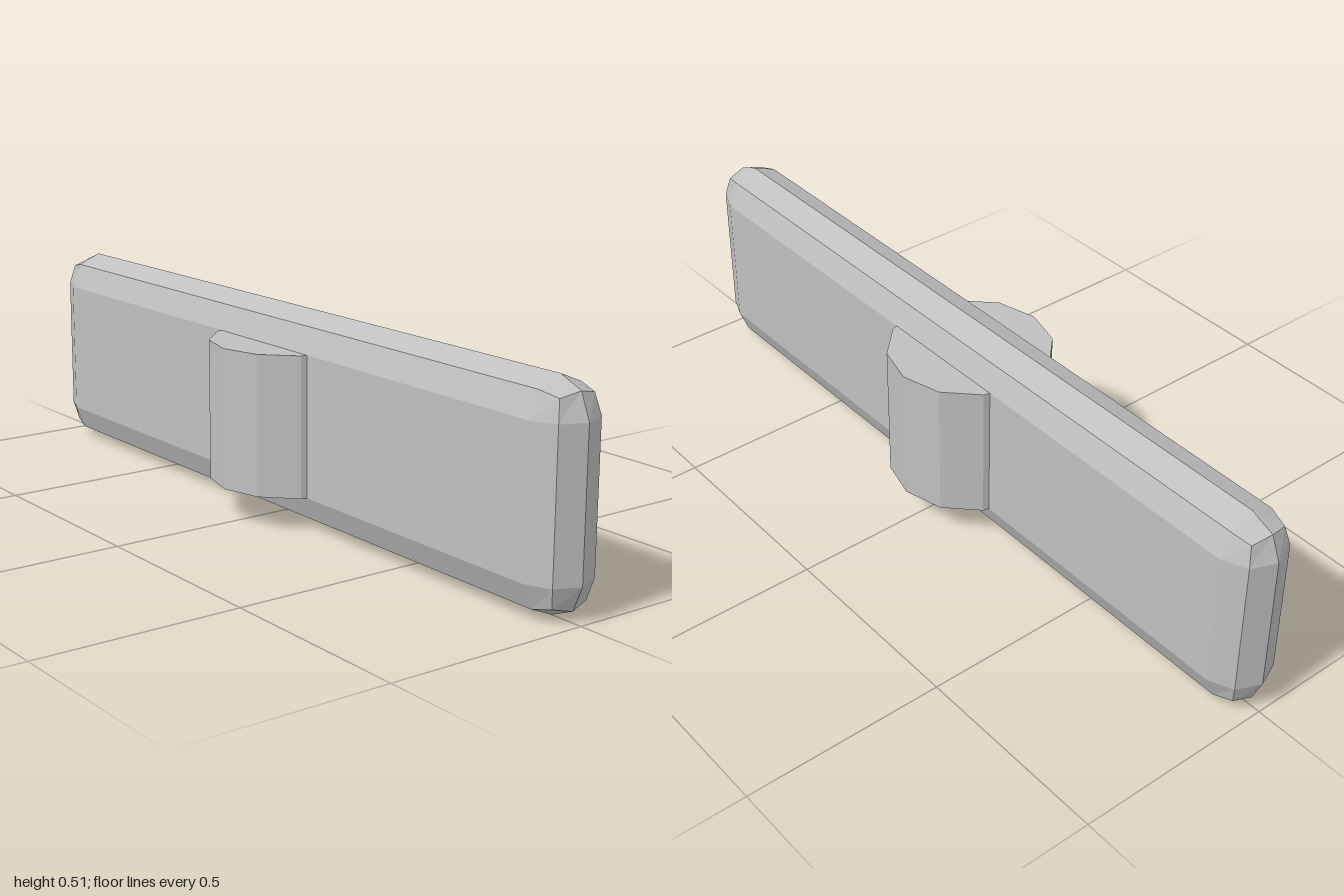
import * as THREE from 'three';
import { RoundedBoxGeometry } from 'three/addons/geometries/RoundedBoxGeometry.js';

export function createModel() {
  const group = new THREE.Group();
  group.name = 'barWithHub';

  const grey = new THREE.MeshStandardMaterial({ color: 0xc0c0c0, flatShading: true });
  grey.name = 'grey';

  const height = 0.515, bevel = 0.085;

  // Long flat bar with one 45 degree facet on every edge
  const bar = new THREE.Mesh(new RoundedBoxGeometry(2, height, bevel * 2, 1, bevel), grey);
  bar.name = 'bar';

  // Upright twelve-sided hub, as tall as the flat part of the bar
  const hub = new THREE.Mesh(new THREE.CylinderGeometry(0.2, 0.2, height - bevel * 2, 12), grey);
  hub.name = 'hub';

  for (const part of [bar, hub]) {
    part.position.y = height / 2;
    group.add(part);
  }
  return group;
}
